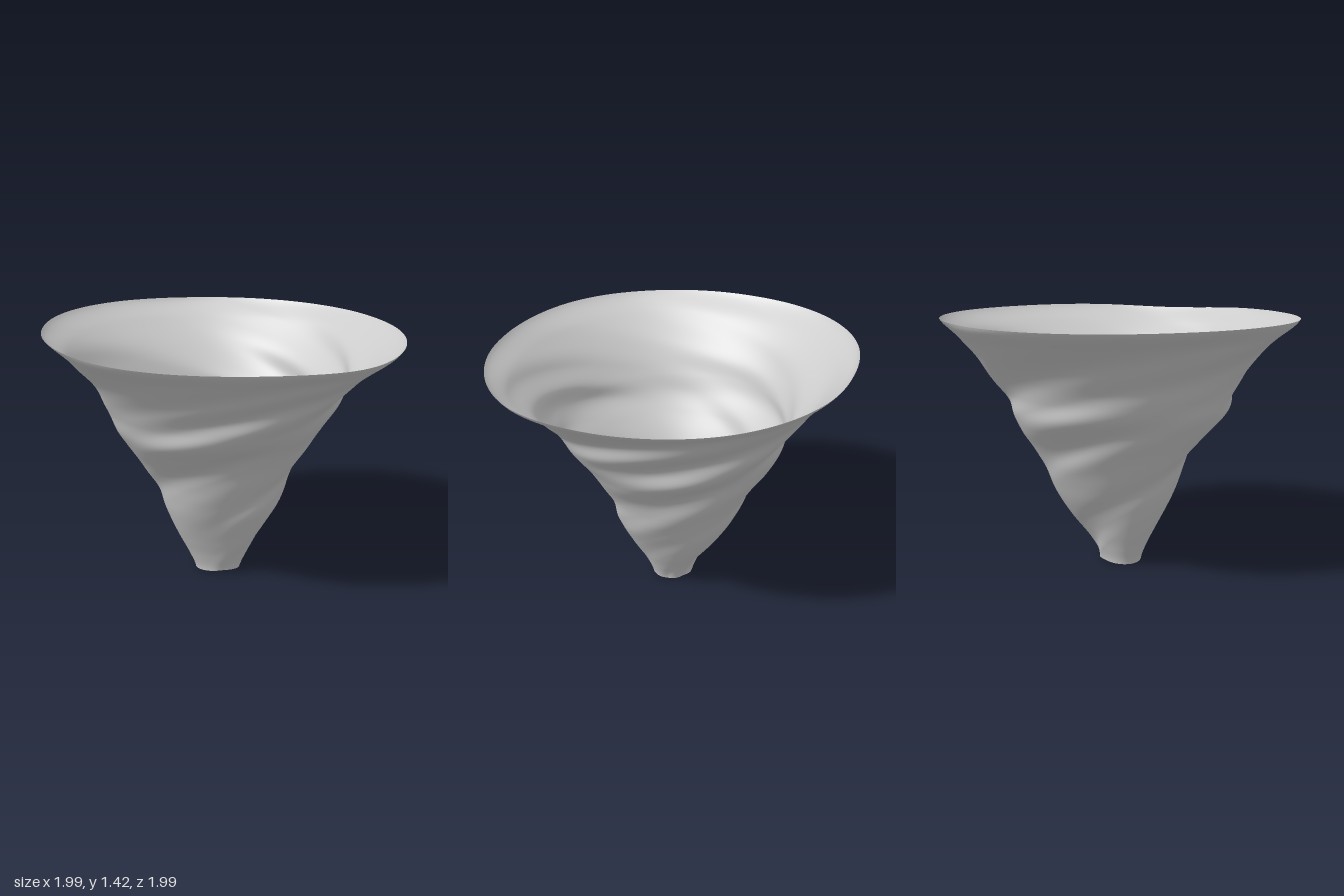
import * as THREE from 'three';

const HEIGHT = 1.4, RINGS = 120, SIDES = 180;
const RISE = 0.28; // climb of the spiral folds per quarter turn

// wall radius every 0.1 in height, for front, right (+x), back and left (-x)
const PROFILES = [
  [0.115, 0.16, 0.205, 0.25, 0.295, 0.34, 0.385, 0.425, 0.485, 0.60, 0.675, 0.69, 0.785, 0.89, 0.995],
  [0.09, 0.14, 0.195, 0.245, 0.305, 0.36, 0.39, 0.435, 0.51, 0.575, 0.62, 0.70, 0.735, 0.86, 0.995],
  [0.115, 0.14, 0.205, 0.285, 0.35, 0.40, 0.44, 0.50, 0.57, 0.625, 0.64, 0.72, 0.81, 0.90, 0.99],
  [0.16, 0.20, 0.25, 0.295, 0.335, 0.365, 0.43, 0.49, 0.555, 0.615, 0.66, 0.70, 0.785, 0.865, 1.0],
];
const MEAN = PROFILES[0].map((_, i) => PROFILES.reduce((s, p) => s + p[i], 0) / 4);
const FOLDS = PROFILES.map((p) => p.map((r, i) => r - MEAN[i]));

// shorter ledges between the profiles: [quarter turn, height, span, depth]
const LEDGES = [
  [0.15, 1.25, 0.6, 0.035],
  [0.35, 0.48, 0.35, 0.022],
  [1.4, 1.02, 0.5, 0.04],
  [1.45, 0.74, 0.4, 0.02],
  [2.5, 1.18, 0.45, 0.03],
  [2.5, 0.98, 0.45, 0.03],
  [2.5, 0.73, 0.4, 0.025],
];

// smooth cubic lookup in a height table
function sample(table, y) {
  const last = table.length - 1;
  const f = THREE.MathUtils.clamp(y / HEIGHT, 0, 1) * last;
  const i = Math.min(Math.floor(f), last - 1), t = f - i;
  const at = (k) => table[THREE.MathUtils.clamp(k, 0, last)];
  const a = at(i), b = at(i + 1);
  const ma = (b - at(i - 1)) / 2, mb = (at(i + 2) - a) / 2;
  const t2 = t * t, t3 = t2 * t;
  return a * (2 * t3 - 3 * t2 + 1) + ma * (t3 - 2 * t2 + t) + b * (3 * t2 - 2 * t3) + mb * (t3 - t2);
}

// a ledge bulges below its helix line, cuts in above it, and fades at both ends
function ledge(quarter, y, [centre, height, span, depth]) {
  const d = THREE.MathUtils.euclideanModulo(quarter - centre + 2, 4) - 2;
  const u = (y - height - RISE * d) / 0.085;
  return -depth * u * Math.exp(-u * u - (d / span) ** 2);
}

// blend neighbouring profiles along the helix so folds wind up around the wall
function radius(quarter, y) {
  const k = Math.floor(quarter) % 4, t = quarter - Math.floor(quarter);
  const w = t * t * (3 - 2 * t);
  const fold = (1 - w) * sample(FOLDS[k], y - RISE * t)
    + w * sample(FOLDS[(k + 1) % 4], y + RISE * (1 - t));
  const s = Math.sin(quarter * Math.PI);
  const squareRim = (0.024 * s * s + 0.006 * s) * (y / HEIGHT) ** 5;
  return LEDGES.reduce((r, l) => r + ledge(quarter, y, l), sample(MEAN, y) + fold + squareRim);
}

function funnelGeometry() {
  const positions = [], indices = [];
  for (let j = 0; j <= RINGS; j++) {
    const v = j / RINGS, y = v * HEIGHT;
    for (let i = 0; i < SIDES; i++) {
      const a = (i / SIDES) * Math.PI * 2;
      const r = radius((i / SIDES) * 4, y);
      // gently uneven mouth, with one dip, and foot
      const mouth = 0.01 + 0.016 * Math.cos(a + 2.1) - 0.022 * Math.exp(-(((a - 0.75) / 0.4) ** 2));
      const foot = 0.01 + 0.006 * Math.cos(2 * a);
      positions.push(r * Math.sin(a), y + mouth * v ** 4 + foot * (1 - v) ** 4, r * Math.cos(a));
      if (j < RINGS) {
        const n = (i + 1) % SIDES, p = j * SIDES, q = p + SIDES;
        indices.push(p + i, p + n, q + n, p + i, q + n, q + i);
      }
    }
  }
  const geometry = new THREE.BufferGeometry();
  geometry.setAttribute('position', new THREE.Float32BufferAttribute(positions, 3));
  geometry.setIndex(indices);
  geometry.computeVertexNormals();
  return geometry;
}

export function createModel() {
  const model = new THREE.Group();
  model.name = 'whirlwind';
  const material = new THREE.MeshStandardMaterial({ color: 0xcccccc, side: THREE.DoubleSide });
  // open swirling funnel
  const funnel = new THREE.Mesh(funnelGeometry(), material);
  funnel.name = 'funnel';
  model.add(funnel);
  return model;
}
